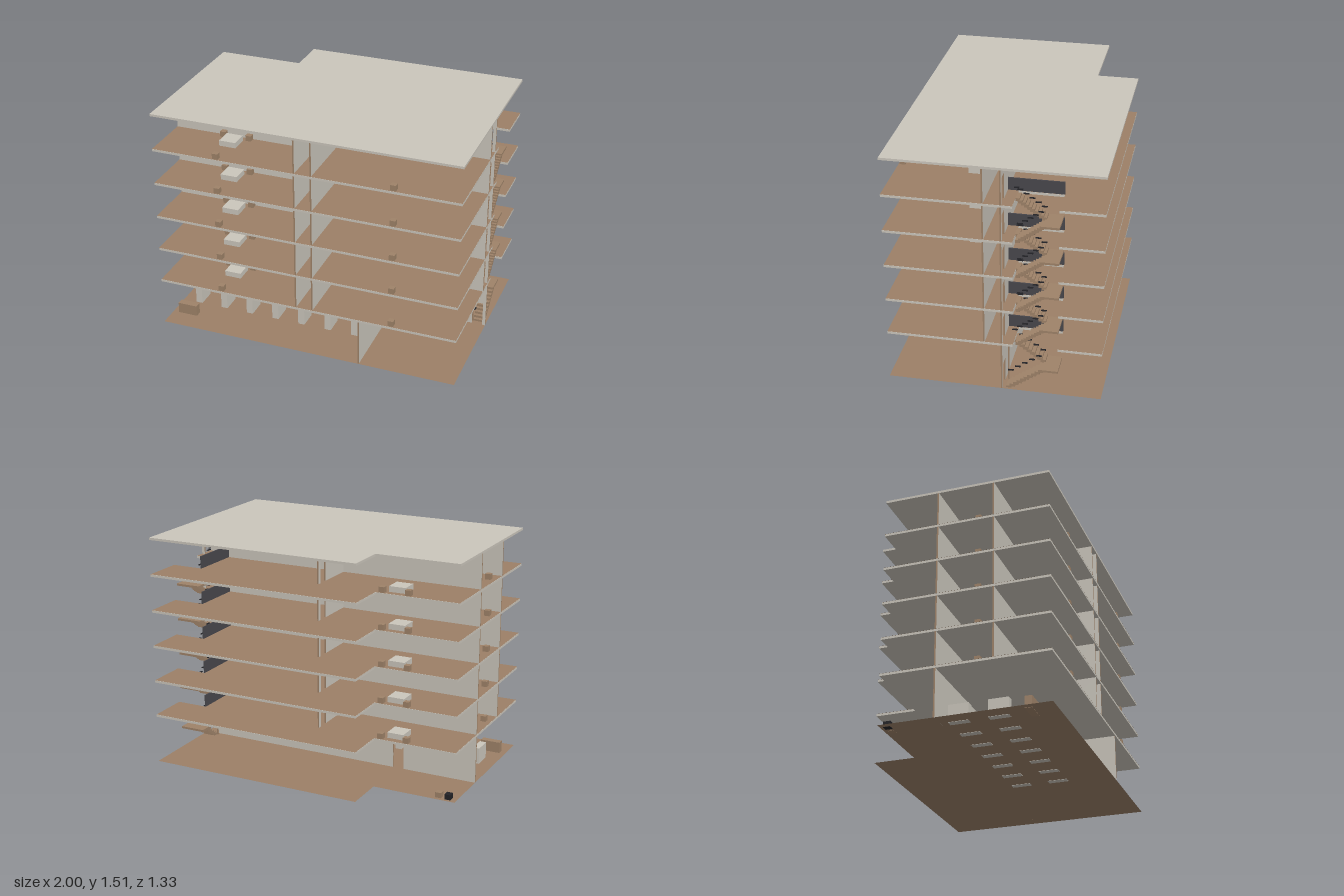
import * as THREE from 'three';

const mat = (name, color, side = THREE.FrontSide) => {
  const m = new THREE.MeshStandardMaterial({ color, side });
  m.name = name;
  return m;
};

export function createModel() {
  const plaster = mat('plaster', 0xcbc6bc);
  const brown = mat('woodBrown', 0x9f8369);
  const floorBrown = mat('floorBrown', 0x9c8067, THREE.DoubleSide);
  const charcoal = mat('charcoal', 0x49484d);
  const black = mat('black', 0x222226);

  const model = new THREE.Group();
  model.name = 'apartmentBlock';

  // Box given by its min/max limits on each axis
  const box = (parent, name, material, x0, x1, y0, y1, z0, z1) => {
    const m = new THREE.Mesh(new THREE.BoxGeometry(x1 - x0, y1 - y0, z1 - z0), material);
    m.position.set((x0 + x1) / 2, (y0 + y1) / 2, (z0 + z1) / 2);
    m.name = name;
    parent.add(m);
    return m;
  };

  // Thin wall along an axis, split around door openings; cut ends are brown
  const T = 0.005, DOOR = 0.165;
  const endX = [brown, brown, plaster, plaster, plaster, plaster];
  const endZ = [plaster, plaster, plaster, plaster, brown, brown];
  const wall = (parent, name, axis, at, from, to, y0, y1, doors = []) => {
    const piece = (a, b, lo, hi) => axis === 'x'
      ? box(parent, name, endX, a, b, lo, hi, at - T, at + T)
      : box(parent, name, endZ, at - T, at + T, lo, hi, a, b);
    let start = from;
    for (const [a, b] of doors) {
      piece(start, a, y0, y1);
      piece(a, b, y0 + DOOR, y1);
      start = b;
    }
    piece(start, to, y0, y1);
  };

  // Stepped floor outline, optionally with the stairwell cut from the right edge
  const outline = (stairwell) => {
    const pts = [[-1, 0.665], [1, 0.665]];
    if (stairwell) pts.push([1, -0.12], [0.8, -0.12], [0.8, -0.395], [1, -0.395]);
    pts.push([1, -0.665], [-0.45, -0.665], [-0.45, -0.4], [-1, -0.4]);
    return new THREE.Shape(pts.map(([x, z]) => new THREE.Vector2(x, -z)));
  };
  const sheet = (parent, name, stairwell, y) => {
    const m = new THREE.Mesh(new THREE.ShapeGeometry(outline(stairwell)).rotateX(-Math.PI / 2), floorBrown);
    m.position.y = y;
    m.name = name;
    parent.add(m);
  };
  const SLAB = 0.015;
  const slab = (parent, name, stairwell, top) => {
    const g = new THREE.ExtrudeGeometry(outline(stairwell), { depth: SLAB, bevelEnabled: false });
    const m = new THREE.Mesh(g.rotateX(-Math.PI / 2), plaster);
    m.position.y = top - SLAB;
    m.name = name;
    parent.add(m);
  };

  // Table with two stools behind it
  const diningSet = (parent, x, wallZ, y) => {
    box(parent, 'table', plaster, x - 0.055, x + 0.055, y, y + 0.036, wallZ + 0.045, wallZ + 0.16);
    for (const s of [-1, 1]) stool(parent, x + s * 0.087, wallZ + 0.022, y);
  };
  const stool = (parent, x, z, y) =>
    box(parent, 'stool', brown, x - 0.018, x + 0.018, y, y + 0.036, z - 0.018, z + 0.018);

  // Straight flight of steps with short handrail pieces above it
  const flight = (parent, x0, x1, y0, y1, z0, z1, railX) => {
    const n = 10, dy = (y1 - y0) / n, dz = (z1 - z0) / n;
    for (let i = 0; i < n; i++) {
      const z = z0 + (i + 0.5) * dz, y = y0 + (i + 1) * dy;
      const half = Math.abs(dz) / 2 + 0.005;
      box(parent, 'step', brown, x0, x1, Math.max(y - 0.02, 0.002), y, z - half, z + half);
      if (i % 2 === 0) {
        box(parent, 'handrail', black, railX - 0.006, railX + 0.006, y + 0.068, y + 0.072, z - 0.017, z + 0.017);
      }
    }
  };
  const stairs = (y0, y1, zStart, zEnd) => {
    const g = new THREE.Group();
    g.name = 'staircase';
    const mid = y0 === 0 ? 0.157 : y0 + (y1 - y0) * 0.48;
    flight(g, 0.91, 0.985, y0, mid, zStart, -0.3, 0.915);
    box(g, 'landing', brown, 0.82, 0.985, mid - 0.014, mid, -0.395, -0.295);
    flight(g, 0.82, 0.895, mid, y1, -0.3, zEnd, 0.89);
    model.add(g);
  };

  const tops = [0.33, 0.567, 0.803, 1.04, 1.277, 1.515];

  // Ground level: floor, cross wall with doors, dividing wall
  const ground = new THREE.Group();
  ground.name = 'groundLevel';
  model.add(ground);
  sheet(ground, 'groundFloor', false, 0.002);
  const under = tops[0] - SLAB;
  wall(ground, 'groundCrossWall', 'x', -0.05, -1, 1, 0.002, under, [[-0.5, -0.425], [0.91, 0.98]]);
  wall(ground, 'groundDividingWall', 'z', 0.367, -0.045, 0.66, 0.002, under);

  // Two rows of upright blocks in the hall
  for (let i = 0; i < 7; i++) {
    const x = -0.885 + i * 0.1865;
    for (const z of [0.31, 0.065]) {
      box(ground, 'hallBlock', plaster, x - 0.022, x + 0.022, 0, 0.11, z - 0.063, z + 0.063);
    }
  }
  box(ground, 'receptionDesk', brown, -0.96, -0.828, 0, 0.075, 0.485, 0.53);
  box(ground, 'yardBoxBrown', brown, -0.9, -0.86, 0, 0.036, -0.375, -0.338);
  box(ground, 'yardBoxBlack', black, -0.965, -0.925, 0, 0.036, -0.38, -0.335);
  box(ground, 'stairPost', brown, 0.9, 0.91, 0, under, -0.08, -0.072);
  stairs(0, under, -0.08, -0.08);

  // Five identical upper storeys
  for (let i = 0; i < 5; i++) {
    const storey = new THREE.Group();
    storey.name = 'storey' + (i + 1);
    model.add(storey);
    const y = tops[i], c = tops[i + 1] - SLAB;
    slab(storey, 'floorSlab', true, y - 0.001);
    sheet(storey, 'floorFinish', true, y);

    // Walls across the width
    wall(storey, 'rightFrontWall', 'x', 0.058, 0.06, 1, y, c);
    wall(storey, 'rightBackWall', 'x', -0.05, 0.05, 1, y, c, [[0.91, 0.98]]);
    wall(storey, 'leftFrontWall', 'x', 0.31, -1, -0.06, y, c);
    wall(storey, 'leftBackWall', 'x', -0.05, -1, -0.06, y, c);

    // Walls along the central passage
    wall(storey, 'passageWallRight', 'z', 0.055, 0.053, 0.66, y, c, [[0.085, 0.155]]);
    wall(storey, 'passageWallLeft', 'z', -0.055, -0.395, 0.66, y, c,
      [[-0.37, -0.3], [-0.01, 0.055], [0.335, 0.405]]);

    // Furniture
    diningSet(storey, 0.575, 0.06, y);
    diningSet(storey, -0.575, 0.315, y);
    diningSet(storey, -0.575, -0.045, y);
    diningSet(storey, -0.575, -0.4, y);
    stool(storey, 0.575, 0.64, y);
    stool(storey, -0.575, 0.64, y);
    stool(storey, -0.95, 0.2, y);

    // Stairwell guard and flights up to the next storey
    box(storey, 'stairwellGuard', charcoal, 0.79, 0.798, y, y + 0.08, -0.395, -0.055);
    if (i < 4) stairs(y, tops[i + 1], -0.14, -0.12);
    else box(storey, 'handrail', black, 0.884, 0.896, y + 0.066, y + 0.07, -0.14, -0.11);
  }

  slab(model, 'roof', false, tops[5]);
  return model;
}
